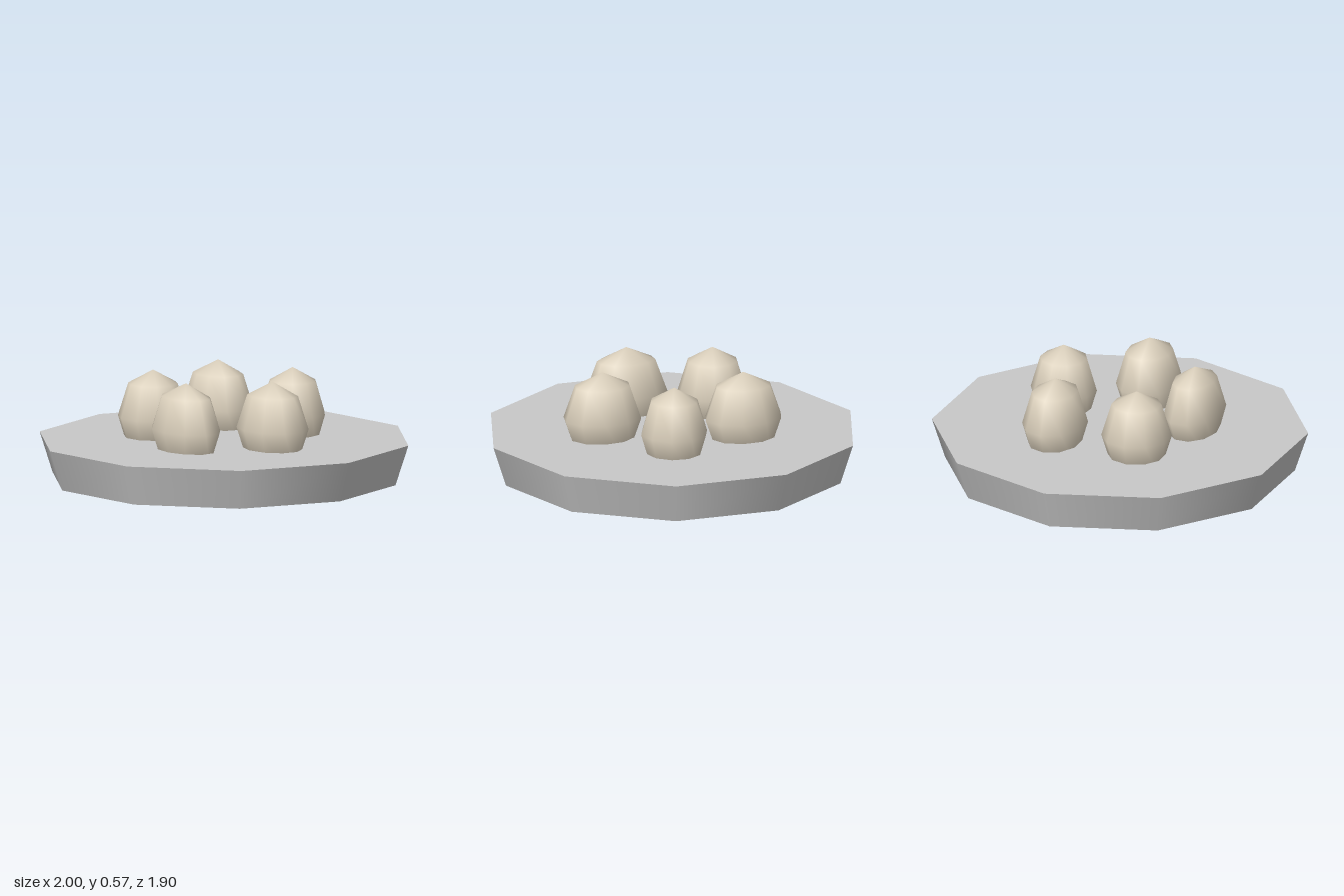
import * as THREE from 'three';

export function createModel() {
  const group = new THREE.Group();
  const stone = new THREE.MeshStandardMaterial({ color: 0xc8c8c8, side: THREE.DoubleSide });
  stone.name = 'pale grey';
  const shell = new THREE.MeshStandardMaterial({ color: 0xddd2be });
  shell.name = 'cream';

  const add = (name, geometry, material) => {
    const mesh = new THREE.Mesh(geometry, material);
    mesh.name = name;
    group.add(mesh);
    return mesh;
  };

  // Ten-sided base: a flared skirt, open underneath, with a flat top
  const height = 0.215;
  const skirt = new THREE.CylinderGeometry(1, 0.93, height, 10, 1, true, Math.PI / 2);
  add('baseSkirt', skirt.translate(0, height / 2, 0), stone);
  const top = new THREE.CircleGeometry(1, 10).rotateX(-Math.PI / 2);
  add('baseTop', top.translate(0, height, 0), stone);

  // Ring of low-poly eggs sunk through the top: [x, z, half width, half depth, turn in degrees]
  const eggs = [
    [0.39, 0.0, 0.215, 0.17, -8],
    [0.125, 0.377, 0.226, 0.153, 18],
    [-0.307, 0.23, 0.19, 0.187, -3],
    [-0.317, -0.236, 0.213, 0.168, -3],
    [0.12, -0.377, 0.18, 0.178, 5],
  ];
  eggs.forEach(([x, z, rx, rz, turn], i) => {
    const egg = new THREE.SphereGeometry(1, 10, 4)
      .rotateY(-THREE.MathUtils.degToRad(turn))
      .scale(rx, 0.25, rz);
    add('egg' + (i + 1), egg, shell).position.set(x, 0.322, z);
  });

  return group;
}
